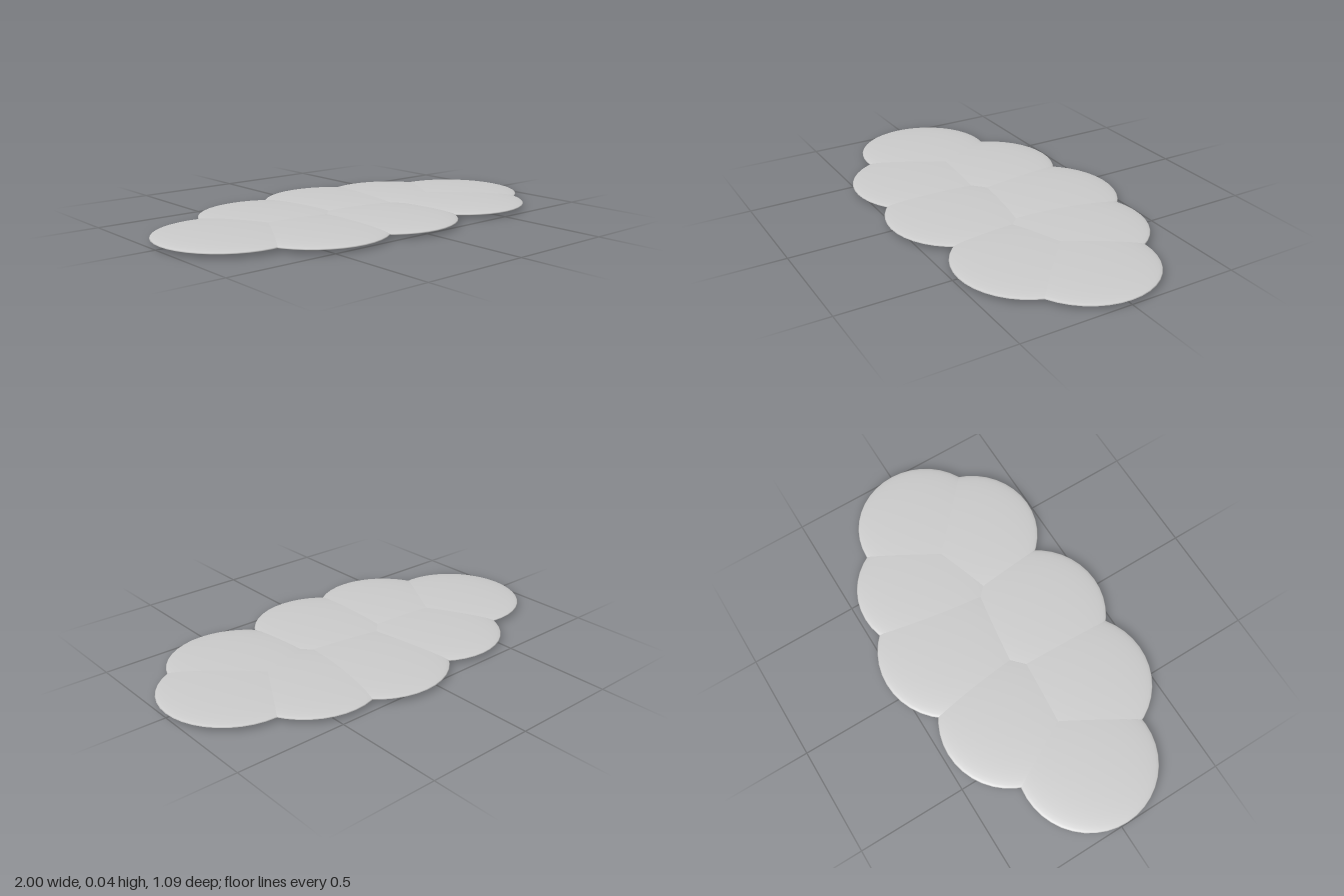
import * as THREE from 'three';

// Flat cloud made of a ring of overlapping, squashed puffs
export function createModel() {
  const cloud = new THREE.Group();
  cloud.name = 'cloud';
  const cloudGrey = new THREE.MeshStandardMaterial({ color: 0xcccccc });
  cloudGrey.name = 'cloudGrey';

  const halfHeight = 0.02;
  // name, centre x, centre z, radius
  const puffs = [
    ['rightEndPuff', -0.685, 0.03, 0.315],
    ['backRightPuff', -0.34, -0.157, 0.318],
    ['backMiddlePuff', 0.082, -0.213, 0.333],
    ['backLeftPuff', 0.41, -0.16, 0.315],
    ['leftEndPuff', 0.685, 0.0, 0.315],
    ['frontLeftPuff', 0.528, 0.172, 0.318],
    ['frontMiddlePuff', 0.02, 0.222, 0.32],
    ['frontRightPuff', -0.37, 0.21, 0.32],
  ];

  const sphere = new THREE.SphereGeometry(1, 40, 20);
  for (const [name, x, z, r] of puffs) {
    const puff = new THREE.Mesh(sphere, cloudGrey);
    puff.name = name;
    puff.scale.set(r, halfHeight, r);
    puff.position.set(x, halfHeight, z);
    cloud.add(puff);
  }
  return cloud;
}
